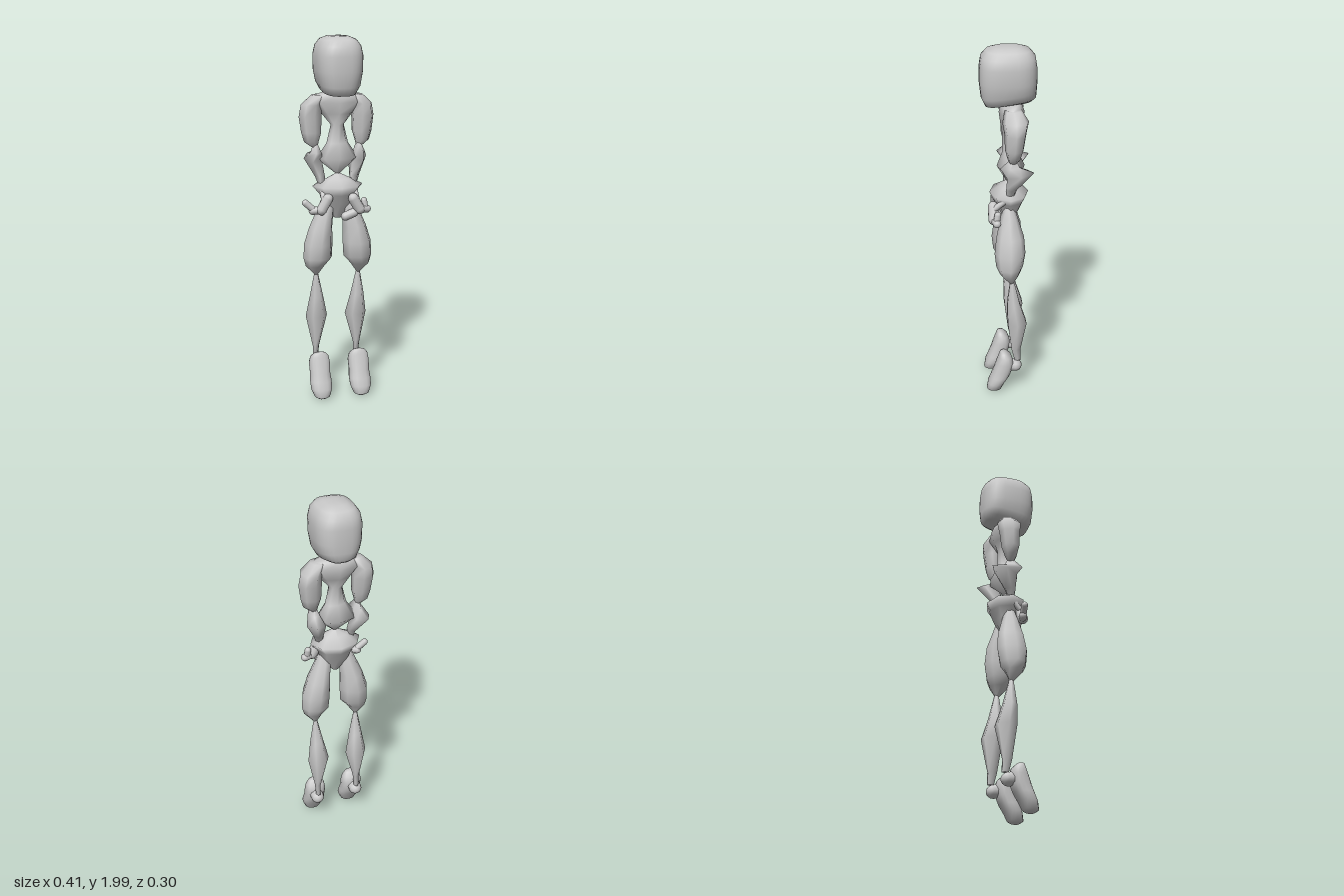
import * as THREE from 'three';

const grey = new THREE.MeshStandardMaterial({ color: 0xc8c8c8 });
grey.name = 'plain grey';

// Skin through rings listed bottom to top: [y, centre x, centre z, radius x, radius z, tilt]
function loft(name, rings, sides, power = 1, turn = 0) {
  const pos = [], index = [];
  const bend = v => Math.sign(v) * Math.pow(Math.abs(v), power);
  for (const [y, cx, cz, rx, rz, tilt = 0] of rings) {
    for (let i = 0; i < sides; i++) {
      const a = turn + i / sides * Math.PI * 2;
      const dz = bend(Math.sin(a)) * rz;
      pos.push(cx + bend(Math.cos(a)) * rx, y + tilt * dz, cz + dz);
    }
  }
  const last = rings.length - 1, base = rings.length * sides;
  for (const r of [rings[0], rings[last]]) pos.push(r[1], r[0], r[2]);
  for (let i = 0; i < sides; i++) {
    const n = (i + 1) % sides;
    for (let s = 0; s < last; s++) {
      const a = s * sides + i, b = a + sides, c = s * sides + n, d = c + sides;
      index.push(a, b, c, b, d, c);
    }
    index.push(base, i, n, base + 1, last * sides + n, last * sides + i);
  }
  const g = new THREE.BufferGeometry();
  g.setAttribute('position', new THREE.Float32BufferAttribute(pos, 3));
  g.setIndex(index);
  g.computeVertexNormals();
  const mesh = new THREE.Mesh(g, grey);
  mesh.name = name;
  return mesh;
}

// Rounded bar between two points
function bar(name, from, to, radius, flat = 1) {
  const a = new THREE.Vector3(...from), b = new THREE.Vector3(...to);
  const dir = b.clone().sub(a);
  const mesh = new THREE.Mesh(new THREE.CapsuleGeometry(radius, dir.length(), 4, 10), grey);
  mesh.position.copy(a).add(b).multiplyScalar(0.5);
  mesh.quaternion.setFromUnitVectors(new THREE.Vector3(0, 1, 0), dir.normalize());
  mesh.scale.z = flat;
  mesh.name = name;
  return mesh;
}

export function createModel() {
  const model = new THREE.Group();
  model.name = 'figure';

  // Head: boxy, rounded, with a low sharp nape
  model.add(loft('head', [
    [1.705, 0, -0.03, 0.06, 0.095, -0.1],
    [1.715, 0, -0.012, 0.09, 0.133, -0.16],
    [1.755, 0, -0.003, 0.112, 0.144, -0.12],
    [1.82, 0, 0, 0.124, 0.15],
    [1.9, 0, 0, 0.126, 0.148],
    [1.95, 0, 0, 0.115, 0.14],
    [1.982, 0, 0, 0.092, 0.112],
    [1.997, 0, 0, 0.055, 0.07],
    [2.0, 0, 0, 0.02, 0.03],
  ], 32, 0.72));

  // Torso: broad shoulders, thin chest, flared belly pinched to a point
  model.add(loft('torso', [
    [1.262, 0, 0, 0.008, 0.008],
    [1.35, 0, -0.015, 0.115, 0.075],
    [1.43, 0, -0.01, 0.06, 0.04],
    [1.53, 0, -0.01, 0.036, 0.04],
    [1.59, 0, -0.015, 0.085, 0.055],
    [1.65, 0, -0.02, 0.14, 0.068],
    [1.69, 0, -0.015, 0.125, 0.058],
    [1.705, 0, -0.015, 0.08, 0.045],
  ], 8));

  // Pelvis: pinched at the waist, tapering to the crotch
  model.add(loft('pelvis', [
    [1.02, 0, -0.005, 0.02, 0.02],
    [1.1, 0, -0.005, 0.085, 0.055],
    [1.155, 0, -0.005, 0.1, 0.085],
    [1.2, 0, -0.005, 0.14, 0.105],
    [1.235, 0, 0, 0.075, 0.045],
    [1.268, 0, 0, 0.008, 0.008],
  ], 8));

  for (const s of [1, -1]) {
    const side = s > 0 ? 'left' : 'right';

    // Arm
    model.add(loft(side + 'UpperArm', [
      [1.405, s * 0.12, -0.015, 0.012, 0.015],
      [1.44, s * 0.14, -0.02, 0.04, 0.035],
      [1.49, s * 0.14, -0.022, 0.055, 0.05],
      [1.575, s * 0.145, -0.027, 0.062, 0.058],
      [1.64, s * 0.14, -0.028, 0.055, 0.07],
      [1.69, s * 0.1, -0.02, 0.04, 0.045],
    ], 7, 1, s > 0 ? 0 : Math.PI));
    model.add(loft(side + 'Forearm', [
      [1.19, s * 0.09, 0, 0.012, 0.015],
      [1.25, s * 0.095, -0.01, 0.028, 0.03],
      [1.345, s * 0.125, -0.055, 0.05, 0.075, -0.2],
      [1.385, s * 0.12, 0.0, 0.03, 0.055],
      [1.43, s * 0.12, -0.015, 0.012, 0.015],
    ], 5, 1, s > 0 ? 0 : Math.PI));

    // Leg
    model.add(loft(side + 'Thigh', [
      [0.7, s * 0.12, -0.01, 0.01, 0.012],
      [0.755, s * 0.127, 0, 0.054, 0.05],
      [0.8, s * 0.113, 0, 0.08, 0.073],
      [0.88, s * 0.109, -0.002, 0.08, 0.084],
      [0.97, s * 0.095, -0.004, 0.065, 0.075],
      [1.08, s * 0.067, 0, 0.045, 0.045],
      [1.17, s * 0.06, 0, 0.015, 0.015],
    ], 8));
    model.add(loft(side + 'Shin', [
      [0.2, s * 0.118, -0.045, 0.014, 0.02],
      [0.27, s * 0.118, -0.035, 0.018, 0.028],
      [0.45, s * 0.113, -0.04, 0.061, 0.06],
      [0.57, s * 0.117, -0.02, 0.038, 0.04],
      [0.72, s * 0.12, -0.012, 0.008, 0.01],
    ], 6));

    // Foot: long pad hanging toes down, with a heel knob behind
    model.add(loft(side + 'Foot', [
      [0.006, s * 0.113, 0.09, 0.025, 0.025],
      [0.018, s * 0.113, 0.09, 0.043, 0.042],
      [0.06, s * 0.113, 0.077, 0.06, 0.047],
      [0.1, s * 0.113, 0.056, 0.061, 0.052],
      [0.14, s * 0.113, 0.04, 0.057, 0.053],
      [0.19, s * 0.113, 0.027, 0.06, 0.049],
      [0.228, s * 0.113, 0.027, 0.053, 0.035],
      [0.25, s * 0.113, 0.035, 0.035, 0.02],
      [0.256, s * 0.113, 0.038, 0.015, 0.01],
    ], 16, 0.85));
    model.add(bar(side + 'Heel', [s * 0.118, 0.17, 0.0], [s * 0.118, 0.165, -0.03], 0.038, 0.95));
  }

  // Hands, both swung towards the right
  for (const [side, x, y, z] of [['right', -0.09, 1.1, 0.06], ['left', 0.085, 1.1, 0.085]]) {
    const hand = new THREE.Group();
    hand.name = side + 'Hand';
    const out = side === 'right' ? -1 : 1;
    hand.add(
      bar('palm', [x - out * 0.02, y + 0.04, z], [x + out * 0.015, y - 0.02, z], 0.029),
      bar('fingers', [x + out * 0.01, y - 0.02, z], [x + out * 0.06, y - 0.025, z - 0.015], 0.022),
      bar('fingertips', [x + out * 0.05, y - 0.025, z - 0.012], [x + out * (out < 0 ? 0.1 : 0.045), y + 0.02, z - 0.02], 0.018),
      bar('wrist', [out * 0.09, 1.2, 0], [x, y + 0.03, z], 0.016),
    );
    model.add(hand);
  }
  model.add(bar('leftThumb', [0.07, 1.06, 0.08], [0.025, 1.04, 0.07], 0.024));
  return model;
}
